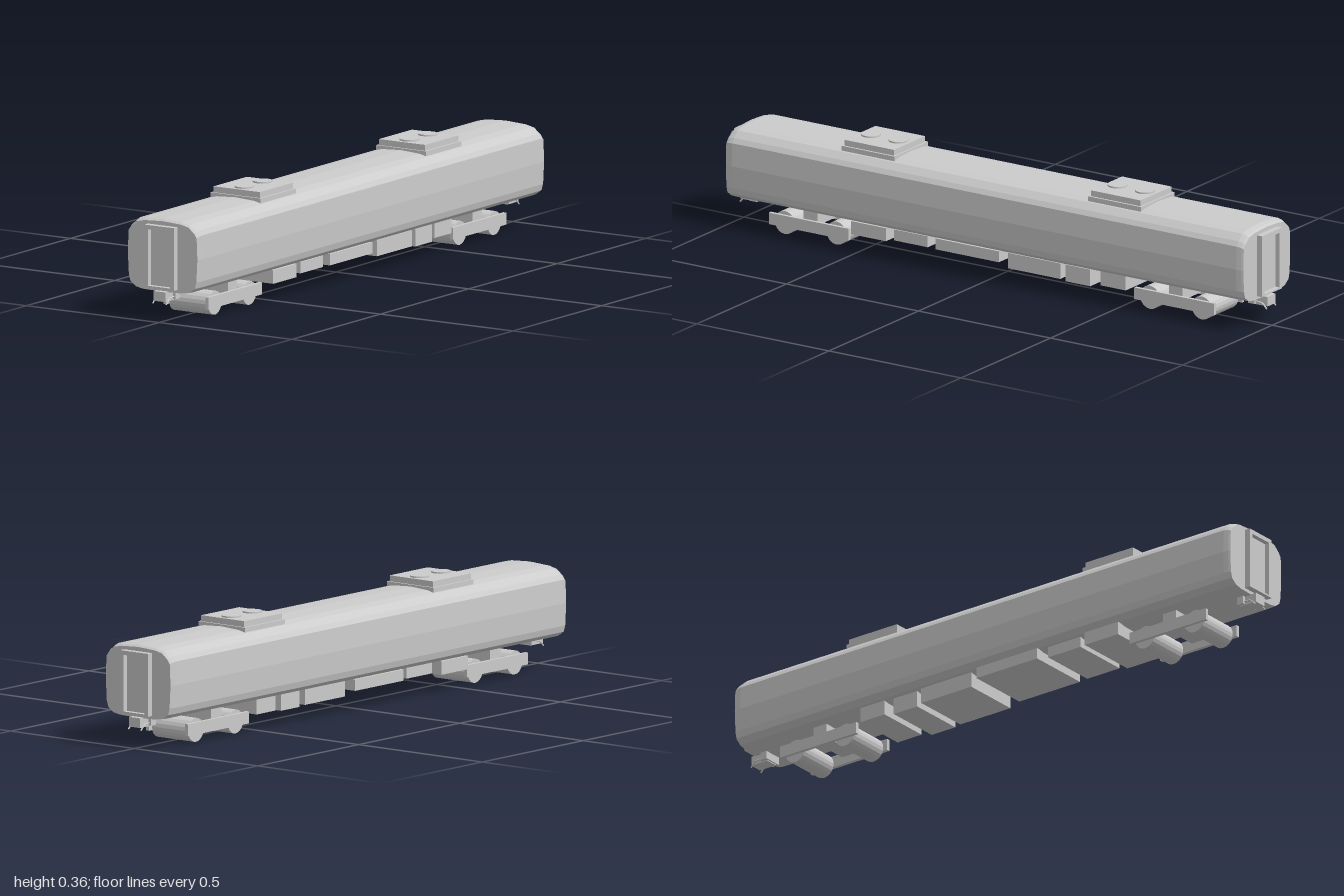
import * as THREE from 'three';

const mat = new THREE.MeshStandardMaterial({ color: 0xcccccc, flatShading: true, side: THREE.DoubleSide });

function add(parent, name, geo) {
  const mesh = new THREE.Mesh(geo, mat);
  mesh.name = name;
  parent.add(mesh);
  return mesh;
}

// Box given by its limits on each axis
function box(parent, name, x0, x1, y0, y1, z0, z1) {
  const mesh = add(parent, name, new THREE.BoxGeometry(x1 - x0, y1 - y0, z1 - z0));
  mesh.position.set((x0 + x1) / 2, (y0 + y1) / 2, (z0 + z1) / 2);
  return mesh;
}

// Car shell: one bulging cross-section lofted along z, drawn in at the ends
function shellGeometry() {
  const half = [[0.077, 0.097], [0.104, 0.102], [0.125, 0.117], [0.131, 0.138], [0.135, 0.21],
    [0.132, 0.285], [0.122, 0.3], [0.1, 0.319], [0.07, 0.326]];
  const ring = [[0, 0.095], ...half, [0, 0.33], ...half.map(([x, y]) => [-x, y]).reverse()];
  const sections = [[-0.98, 0.97, 0.92], [-0.972, 0.985, 0.965], [-0.955, 1, 1],
    [0.955, 1, 1], [0.972, 0.985, 0.965], [0.98, 0.97, 0.92]];
  const n = ring.length, pos = [], index = [];
  for (const [z, sx, sy] of sections)
    for (const [x, y] of ring) pos.push(x * sx, 0.21 + (y - 0.21) * (y > 0.21 ? sy : 1), z);
  for (let s = 0; s < sections.length - 1; s++)
    for (let i = 0; i < n; i++) {
      const a = s * n + i, b = s * n + (i + 1) % n;
      index.push(a, b, b + n, a, b + n, a + n);
    }
  // Flat end caps
  const last = (sections.length - 1) * n;
  for (let i = 1; i < n - 1; i++) {
    index.push(0, i + 1, i);
    index.push(last, last + i, last + i + 1);
  }
  const geo = new THREE.BufferGeometry();
  geo.setAttribute('position', new THREE.Float32BufferAttribute(pos, 3));
  geo.setIndex(index);
  geo.computeVertexNormals();
  return geo;
}

// Gangway door with raised frame, coupler and hoses, built for the +z end
function carEnd(name) {
  const g = new THREE.Group();
  g.name = name;
  const frame = new THREE.Shape([[-0.056, 0.107], [0.056, 0.107], [0.056, 0.307], [-0.056, 0.307]]
    .map(p => new THREE.Vector2(...p)));
  frame.holes.push(new THREE.Path([[-0.042, 0.113], [-0.042, 0.293], [0.042, 0.293], [0.042, 0.113]]
    .map(p => new THREE.Vector2(...p))));
  add(g, 'doorFrame', new THREE.ExtrudeGeometry(frame, { depth: 0.025, bevelEnabled: false })).position.z = 0.975;
  box(g, 'doorPanel', -0.042, 0.042, 0.113, 0.293, 0.97, 0.984);
  box(g, 'couplerMount', -0.032, 0.032, 0.07, 0.1, 0.93, 0.955);
  box(g, 'coupler', -0.022, 0.022, 0.067, 0.098, 0.935, 0.998);
  for (const s of [-1, 1]) {
    const path = new THREE.CatmullRomCurve3([
      new THREE.Vector3(s * 0.025, 0.078, 0.955),
      new THREE.Vector3(s * 0.025, 0.075, 0.98),
      new THREE.Vector3(s * 0.025, 0.059, 0.997)]);
    add(g, 'hose', new THREE.TubeGeometry(path, 6, 0.0025, 6));
  }
  return g;
}

// Bogie: two wheel rollers, side beams and a bolster
function bogie(name, z) {
  const g = new THREE.Group();
  g.name = name;
  g.position.z = z;
  for (const dz of [-0.098, 0.098]) {
    const wheel = add(g, 'wheelset', new THREE.CylinderGeometry(0.038, 0.038, 0.148, 20));
    wheel.rotation.z = Math.PI / 2;
    wheel.position.set(0, 0.038, dz);
  }
  for (const s of [-1, 1])
    box(g, 'sideBeam', s * 0.079 - 0.006, s * 0.079 + 0.006, 0.026, 0.064, -0.151, 0.151);
  box(g, 'bolster', -0.075, 0.075, 0.05, 0.1, -0.026, 0.026);
  return g;
}

// Roof ventilation unit: plinth, casing and two round fans
function roofUnit(name, z) {
  const g = new THREE.Group();
  g.name = name;
  g.position.z = z;
  box(g, 'unitBase', -0.094, 0.094, 0.315, 0.336, -0.1, 0.1);
  box(g, 'unitCasing', -0.087, 0.087, 0.336, 0.355, -0.094, 0.094);
  for (const dz of [-0.052, 0.052])
    add(g, 'fanCover', new THREE.CylinderGeometry(0.031, 0.031, 0.006, 20)).position.set(0, 0.357, dz);
  return g;
}

export function createModel() {
  const model = new THREE.Group();
  model.name = 'railCar';
  add(model, 'carBody', shellGeometry());

  const front = carEnd('frontEnd'), back = carEnd('backEnd');
  back.rotation.y = Math.PI;
  model.add(front, back);

  model.add(bogie('frontBogie', 0.697), bogie('backBogie', -0.686));
  model.add(roofUnit('frontRoofUnit', 0.467), roofUnit('backRoofUnit', -0.467));

  // Underfloor equipment: right edge, left edge, underside, rear and front z
  const equipment = [
    [-0.11, 0.11, 0.058, 0.388, 0.52],
    [-0.095, 0.106, 0.065, 0.232, 0.36],
    [-0.11, 0.11, 0.065, -0.04, 0.2],
    [-0.095, 0.106, 0.05, -0.27, -0.072],
    [-0.09, 0.106, 0.046, -0.383, -0.29],
    [-0.095, 0.095, 0.052, -0.51, -0.415]];
  for (const [x0, x1, y0, z0, z1] of equipment)
    box(model, 'underfloorBox', x0, x1, y0, 0.101, z0, z1);
  return model;
}
